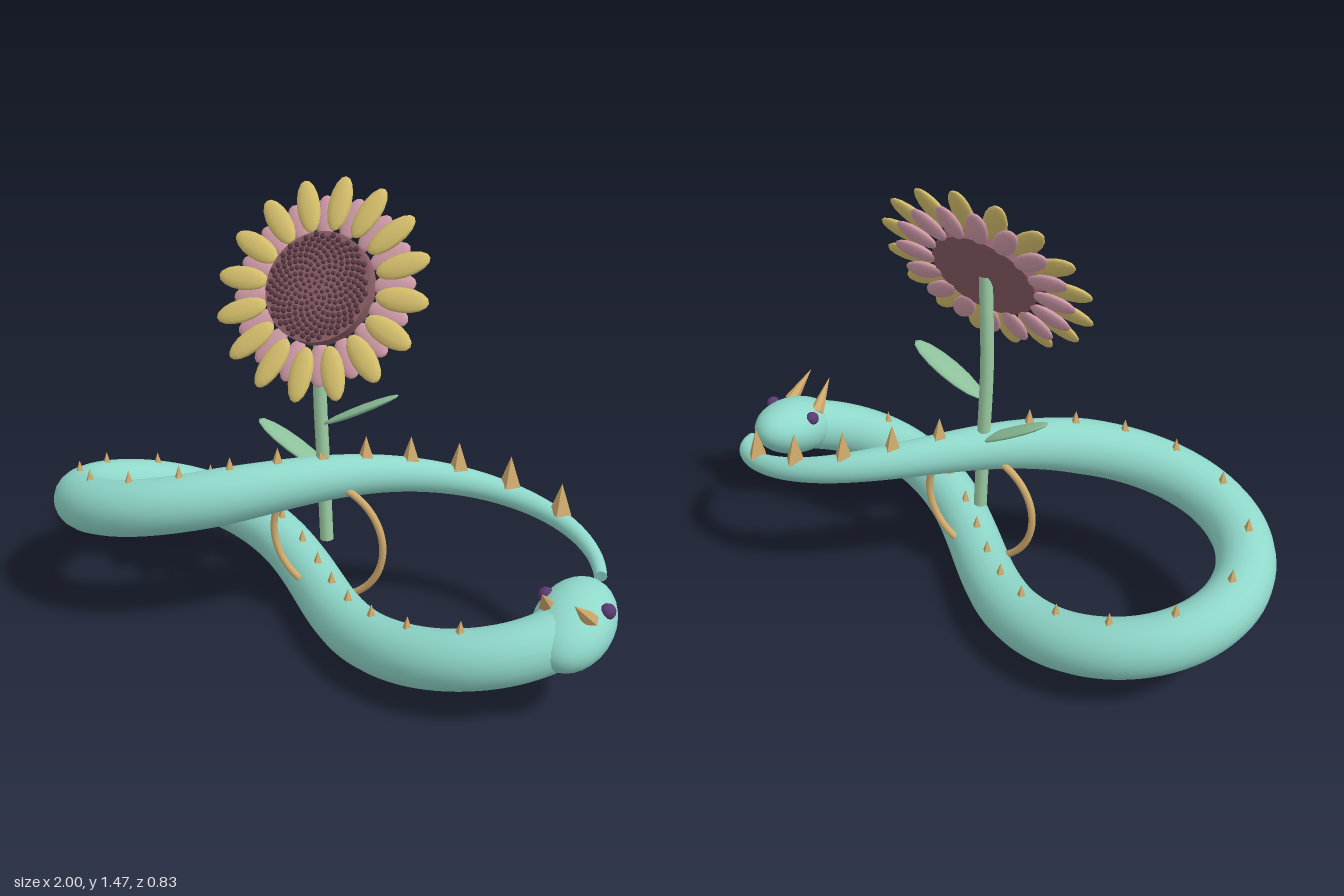
import * as THREE from 'three';
import { mergeGeometries } from 'three/addons/utils/BufferGeometryUtils.js';

const mat = (name, color) => {
  const m = new THREE.MeshStandardMaterial({ color });
  m.name = name;
  return m;
};

// Figure-eight spine: x and z trace a lemniscate, y lifts one strand over the other
const T0 = 0.1, T1 = 2 * Math.PI - 0.12;
const spine = (t) => {
  const s = Math.sin(t), c = Math.cos(t), k = 0.908 / (1 + s * s);
  return new THREE.Vector3(k * c, 0.312 - 0.22 * s, k * s * c);
};
const bodyRadius = (t) => 0.092 - 0.072 * Math.max(0, (t - 4.2) / (T1 - 4.2));

class Spine extends THREE.Curve {
  getPoint(u, target = new THREE.Vector3()) { return target.copy(spine(T0 + (T1 - T0) * u)); }
  getUtoTmapping(u) { return u; }
}

export function createModel() {
  const model = new THREE.Group();
  const teal = mat('teal skin', 0x8fd8ca);
  const gold = mat('petal gold', 0xd9c26e);
  const pink = mat('petal pink', 0xd39dab);
  const mauve = mat('disc mauve', 0x8a5e66);
  const brown = mat('seed brown', 0x5c3a44);
  const tan = mat('spike tan', 0xcfaa6c);
  const purple = mat('eye purple', 0x5b3a72);
  const stemGreen = mat('stem green', 0x9ccda4);
  const leafGreen = mat('leaf green', 0x8cc09a);

  const add = (name, geometry, material, parent = model) => {
    const m = new THREE.Mesh(geometry, material);
    m.name = name;
    parent.add(m);
    return m;
  };

  // Cone from a base point to a tip
  const UP = new THREE.Vector3(0, 1, 0);
  const cone = (base, tip, r, sides) => {
    const dir = tip.clone().sub(base), h = dir.length();
    const g = new THREE.ConeGeometry(r, h, sides).toNonIndexed();
    g.computeVertexNormals();
    g.translate(0, h / 2, 0);
    g.applyQuaternion(new THREE.Quaternion().setFromUnitVectors(UP, dir.normalize()));
    return g.translate(base.x, base.y, base.z);
  };

  // Serpent body: tube whose rings shrink towards the tail
  const SEG = 200, SIDES = 20;
  const path = new Spine();
  const body = new THREE.TubeGeometry(path, SEG, 1, SIDES, false);
  const pos = body.attributes.position, v = new THREE.Vector3();
  for (let i = 0; i <= SEG; i++) {
    const t = T0 + (T1 - T0) * i / SEG, c = spine(t), r = bodyRadius(t);
    for (let j = 0; j <= SIDES; j++) {
      const n = i * (SIDES + 1) + j;
      v.fromBufferAttribute(pos, n).sub(c).multiplyScalar(r).add(c);
      pos.setXYZ(n, v.x, v.y, v.z);
    }
  }
  add('body', body, teal);
  const tail = add('tailEnd', new THREE.CircleGeometry(bodyRadius(T1), SIDES), teal);
  tail.position.copy(spine(T1));
  tail.lookAt(spine(T1).add(path.getTangentAt(1)));

  // Row of back spikes, growing towards the tail
  const spikes = [];
  for (let i = 0; i < 24; i++) {
    const t = 0.56 + 0.2296 * i;
    const grow = Math.max(0, Math.min(1, (i - 16) / 6));
    const base = spine(t);
    base.y += bodyRadius(t) - 0.008;
    const tip = base.clone();
    tip.y += 0.048 + 0.056 * grow;
    spikes.push(cone(base, tip, 0.018 + 0.019 * grow, 4));
  }
  add('backSpikes', mergeGeometries(spikes), tan);

  // Head, eyes and horns
  const head = add('head', new THREE.SphereGeometry(1, 28, 18), teal);
  head.scale.set(0.122, 0.1, 0.184);
  head.position.set(0.877, 0.286, 0.118);
  head.rotation.x = 0.25;
  for (const [name, x, z] of [['leftEye', 0.974, 0.115], ['rightEye', 0.782, 0.1]]) {
    const eye = add(name, new THREE.SphereGeometry(0.024, 14, 10), purple);
    eye.position.set(x, 0.35, z);
  }
  const P = (x, y, z) => new THREE.Vector3(x, y, z);
  add('leftHorn', cone(P(0.94, 0.343, 0.175), P(0.918, 0.435, 0.278), 0.026, 6), tan);
  add('rightHorn', cone(P(0.805, 0.343, 0.155), P(0.818, 0.437, 0.258), 0.026, 6), tan);

  // Ring linking the two strands
  const ring = add('ring', new THREE.TorusGeometry(0.2, 0.012, 10, 64), tan);
  ring.position.set(0.005, 0.315, 0);

  // Stem and leaves
  const stemPath = new THREE.CatmullRomCurve3(
    [P(0.003, 0.315, 0), P(-0.008, 0.55, 0), P(-0.022, 0.85, 0), P(-0.02, 1.15, -0.005)]);
  add('stem', new THREE.TubeGeometry(stemPath, 24, 0.022, 10), stemGreen);
  const stemEnd = add('stemBottom', new THREE.CircleGeometry(0.022, 10), stemGreen);
  stemEnd.position.copy(stemPath.getPoint(0));
  stemEnd.rotation.x = Math.PI / 2;
  for (const [name, x, y, angle] of [['upperLeaf', 0.12, 0.787, 0.49], ['lowerLeaf', -0.116, 0.626, -0.49]]) {
    const leaf = add(name, new THREE.SphereGeometry(1, 10, 8).rotateZ(Math.PI / 2), leafGreen);
    leaf.scale.set(0.145, 0.012, 0.048);
    leaf.position.set(x, y, 0);
    leaf.rotation.z = angle;
  }

  // Flower head, tilted upwards, built facing +z
  const flower = new THREE.Group();
  flower.name = 'flower';
  flower.position.set(-0.02, 1.157, -0.005);
  flower.rotation.x = -0.51;
  model.add(flower);

  const petals = (name, material, dist, halfLength, halfWidth, z, offset) => {
    const list = [];
    for (let i = 0; i < 16; i++) {
      const g = new THREE.SphereGeometry(1, 10, 8);
      g.scale(halfWidth, halfLength, 0.014);
      g.translate(0, dist, z);
      list.push(g.rotateZ((i + offset) * Math.PI / 8));
    }
    add(name, mergeGeometries(list), material, flower);
  };
  petals('outerPetals', gold, 0.272, 0.088, 0.039, 0.004, 0);
  petals('innerPetals', pink, 0.235, 0.07, 0.037, -0.014, 0.5);

  const disc = add('disc', new THREE.CylinderGeometry(0.175, 0.175, 0.046, 40), mauve, flower);
  disc.rotation.x = Math.PI / 2;
  disc.position.z = 0.007;

  // Seeds in a sunflower spiral
  const seeds = [];
  const COUNT = 240;
  for (let i = 0; i < COUNT; i++) {
    const f = Math.sqrt((i + 0.5) / COUNT), a = i * 2.39996;
    const g = new THREE.SphereGeometry(0.006 + 0.0035 * f, 7, 5);
    seeds.push(g.translate(0.166 * f * Math.cos(a), 0.166 * f * Math.sin(a), 0.032));
  }
  add('seeds', mergeGeometries(seeds), brown, flower);

  return model;
}
